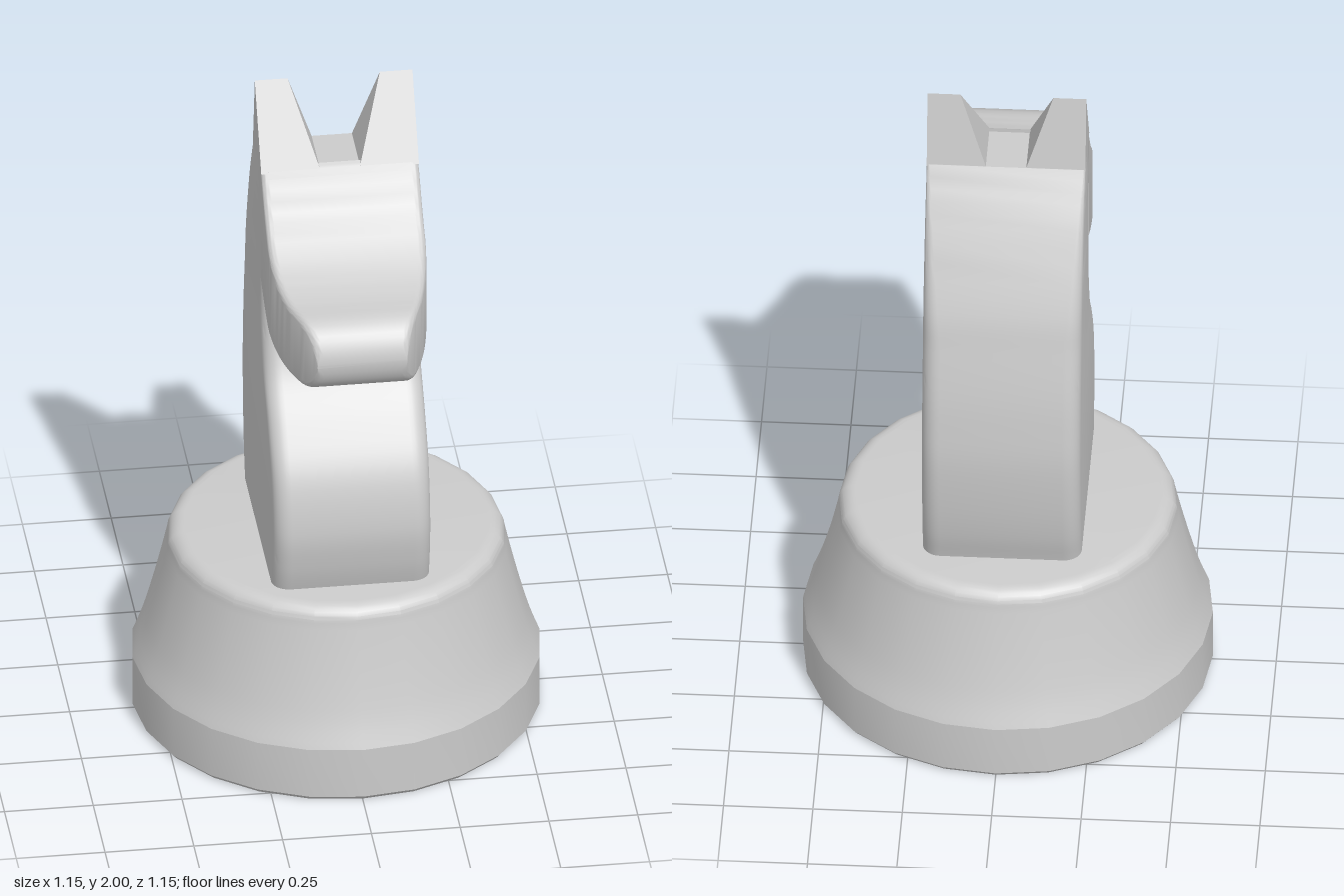
import * as THREE from 'three';
import { toCreasedNormals } from 'three/addons/utils/BufferGeometryUtils.js';
import { ConvexGeometry } from 'three/addons/geometries/ConvexGeometry.js';

const material = new THREE.MeshStandardMaterial({ color: 0xcccccc });

function addMesh(group, name, geometry) {
  const mesh = new THREE.Mesh(geometry, material);
  mesh.name = name;
  group.add(mesh);
}

// Counterclockwise rounded rectangle as [u, v] pairs
function roundedRect(u0, u1, v0, v1, r, steps = 7) {
  const ring = [];
  const corners = [[u1 - r, v1 - r], [u0 + r, v1 - r], [u0 + r, v0 + r], [u1 - r, v0 + r]];
  corners.forEach(([u, v], k) => {
    for (let i = 0; i <= steps; i++) {
      const a = (k + i / steps) * Math.PI / 2;
      ring.push([u + r * Math.cos(a), v + r * Math.sin(a)]);
    }
  });
  return ring;
}

// Closed skin over a series of rings of [x, y, z] points, capped at both ends
function loft(rings, crease) {
  const n = rings[0].length;
  const positions = rings.flat(2);
  const index = [];
  for (let i = 0; i < rings.length - 1; i++) {
    for (let j = 0; j < n; j++) {
      const a = i * n + j, b = i * n + (j + 1) % n;
      index.push(a, b, a + n, b, b + n, a + n);
    }
  }
  const last = (rings.length - 1) * n;
  for (let j = 1; j < n - 1; j++) {
    index.push(0, j + 1, j, last, last + j, last + j + 1);
  }
  const geometry = new THREE.BufferGeometry();
  geometry.setAttribute('position', new THREE.Float32BufferAttribute(positions, 3));
  geometry.setIndex(index);
  return toCreasedNormals(geometry, crease);
}

// Smooth samples through rows of three numbers
function smoothRows(rows, count) {
  const curve = new THREE.CatmullRomCurve3(rows.map((row) => new THREE.Vector3(...row)));
  return curve.getPoints(count);
}

function createBase() {
  const flare = new THREE.SplineCurve([
    [0.573, 0.165], [0.545, 0.24], [0.518, 0.335], [0.492, 0.44], [0.474, 0.52],
  ].map((p) => new THREE.Vector2(...p))).getPoints(12);
  const rim = [];
  for (let i = 1; i <= 7; i++) {
    const a = (i / 7) * Math.PI / 2;
    rim.push(new THREE.Vector2(0.426 + 0.048 * Math.cos(a), 0.52 + 0.046 * Math.sin(a)));
  }
  const profile = [
    new THREE.Vector2(0, 0), new THREE.Vector2(0.563, 0), new THREE.Vector2(0.573, 0.012),
    ...flare, ...rim, new THREE.Vector2(0, 0.566),
  ];
  return toCreasedNormals(new THREE.LatheGeometry(profile, 24), 0.29);
}

function createNeck() {
  // height, front z, back z
  const rows = [
    [0.5, 0.32, -0.29], [0.57, 0.345, -0.307], [0.65, 0.365, -0.328], [0.76, 0.375, -0.345],
    [0.92, 0.34, -0.355], [1.05, 0.255, -0.347], [1.16, 0.165, -0.333], [1.29, 0.11, -0.307],
    [1.4, 0.087, -0.28], [1.63, 0.085, -0.18], [1.78, 0.085, -0.09],
  ];
  const rings = smoothRows(rows, 50).map(({ x: y, y: front, z: back }) => {
    const r = THREE.MathUtils.mapLinear(THREE.MathUtils.clamp(y, 1.3, 1.78), 1.3, 1.78, 0.05, 0.008);
    return roundedRect(back, front, -0.222, 0.222, r).map(([u, v]) => [v, y, u]);
  });
  return loft(rings, 0.4);
}

function createMuzzle() {
  // z, top, bottom
  const rows = [
    [0.07, 1.79, 1.41], [0.085, 1.78, 1.402], [0.16, 1.69, 1.365], [0.245, 1.613, 1.336],
    [0.33, 1.562, 1.318], [0.4, 1.54, 1.312], [0.455, 1.534, 1.314],
  ];
  const sections = smoothRows(rows, 24).map((p) => [p.x, p.y, p.z]);
  // Rounded nose
  for (let i = 1; i <= 10; i++) {
    const a = (i / 10) * 1.5;
    const h = 0.11 * Math.cos(a);
    sections.push([0.455 + 0.107 * Math.sin(a), 1.424 + h, 1.424 - h]);
  }
  const rings = sections.map(([z, top, bottom]) => {
    const taper = Math.max(0, (z - 0.22) / 0.34);
    const w = 0.222 - 0.095 * taper ** 1.7;
    const r = Math.min(0.022, (top - bottom) * 0.3);
    return roundedRect(-w, w, bottom, top, r).map(([u, v]) => [u, v, z]);
  });
  return loft(rings, 0.4);
}

// Wedge-shaped ear, side = 1 for left and -1 for right
function createEar(side) {
  const points = [
    [0.055, 1.775, 0.088], [0.222, 1.775, 0.088], [0.055, 1.775, -0.09],
    [0.222, 1.775, -0.09], [0.13, 2, -0.05], [0.222, 2, -0.05],
  ];
  return new ConvexGeometry(points.map(([x, y, z]) => new THREE.Vector3(side * x, y, z)));
}

export function createModel() {
  const group = new THREE.Group();
  group.name = 'chessKnight';
  addMesh(group, 'base', createBase());
  addMesh(group, 'neck', createNeck());
  addMesh(group, 'muzzle', createMuzzle());
  addMesh(group, 'leftEar', createEar(1));
  addMesh(group, 'rightEar', createEar(-1));
  return group;
}
